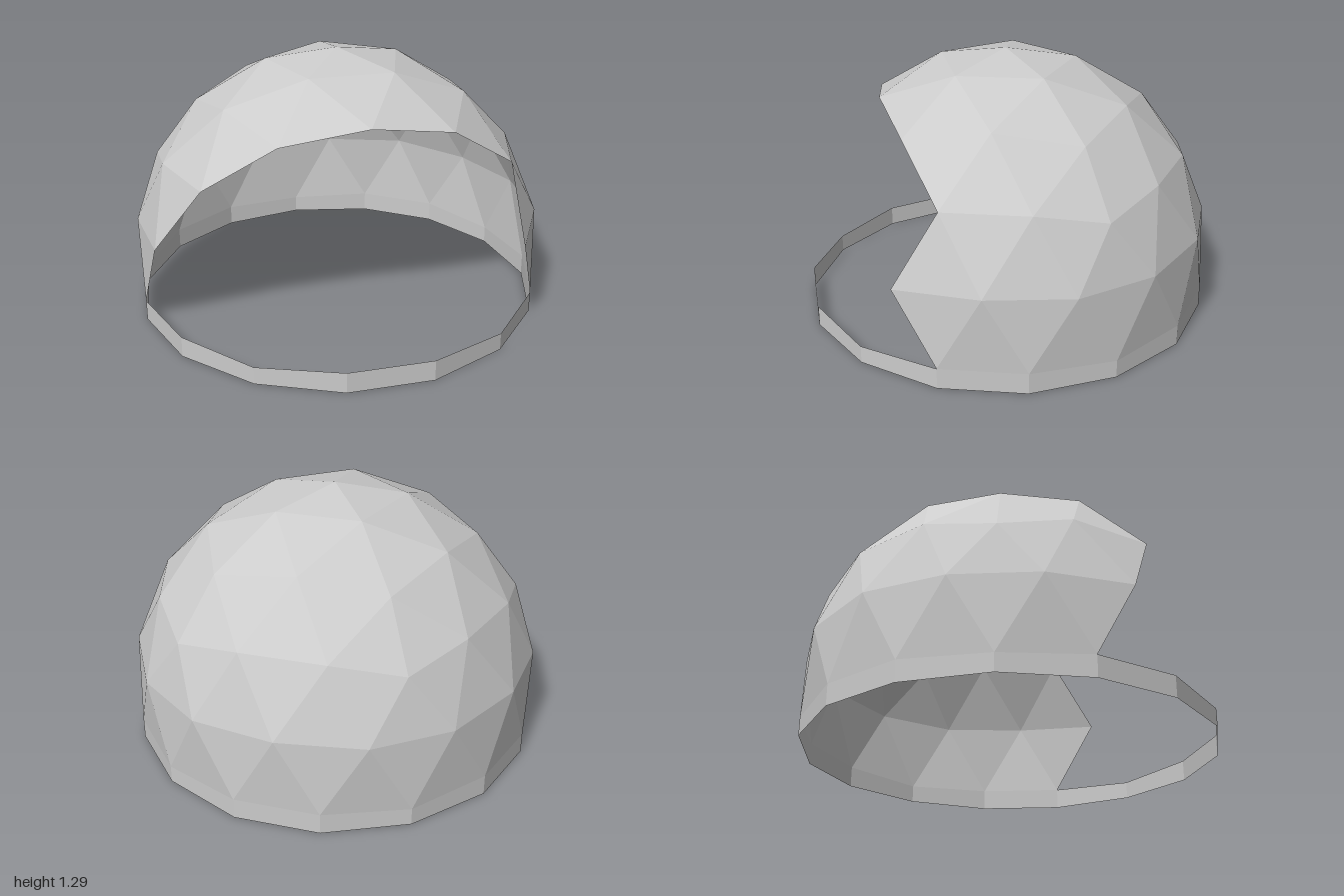
import * as THREE from 'three';

const RADIUS = 1.018;
const CENTER_Y = 0.277;

export function createModel() {
  const group = new THREE.Group();
  group.name = 'openDome';
  const material = new THREE.MeshStandardMaterial({
    color: 0xcccccc, flatShading: true, side: THREE.DoubleSide,
  });

  const addMesh = (name, points) => {
    const geometry = new THREE.BufferGeometry().setFromPoints(points);
    geometry.computeVertexNormals();
    const mesh = new THREE.Mesh(geometry, material);
    mesh.name = name;
    group.add(mesh);
  };

  // Three-frequency geodesic sphere, one icosahedron corner turned straight up
  const sphere = new THREE.IcosahedronGeometry(RADIUS, 2);
  sphere.rotateZ(-Math.atan(2 / (1 + Math.sqrt(5))));
  sphere.translate(0, CENTER_Y, 0);
  const position = sphere.attributes.position;

  // The doorway is a slanted planar cut facing 36 degrees round from +x to +z,
  // with a few panels left standing at its left edge
  const doorAngle = Math.PI / 5;
  const inDoorway = (c) => {
    const reach = c.x * Math.cos(doorAngle) + c.z * Math.sin(doorAngle);
    const azimuth = Math.atan2(c.z, c.x);
    return reach > 0.053 + 0.517 * c.y && azimuth > -Math.PI / 10;
  };

  // Shell panels, and the ring of corners they stand on
  const panels = [];
  const ring = new Map();
  for (let i = 0; i < position.count; i += 3) {
    const tri = [0, 1, 2].map((k) => new THREE.Vector3().fromBufferAttribute(position, i + k));
    if (tri.some((p) => p.y < 0.05)) continue;
    for (const p of tri) {
      if (p.y < 0.2) ring.set(Math.round(Math.atan2(p.z, p.x) * 50), p);
    }
    const centroid = new THREE.Vector3();
    tri.forEach((p) => centroid.addScaledVector(p, 1 / 3));
    if (!inDoorway(centroid)) panels.push(...tri);
  }
  addMesh('domeShell', panels);

  // Low vertical base band, running all the way round
  const corners = [...ring.values()].sort((a, b) => Math.atan2(a.z, a.x) - Math.atan2(b.z, b.x));
  const band = [];
  corners.forEach((a, i) => {
    const b = corners[(i + 1) % corners.length];
    const a0 = new THREE.Vector3(a.x, 0, a.z);
    const b0 = new THREE.Vector3(b.x, 0, b.z);
    band.push(a0, a, b, a0, b, b0);
  });
  addMesh('baseBand', band);

  return group;
}
